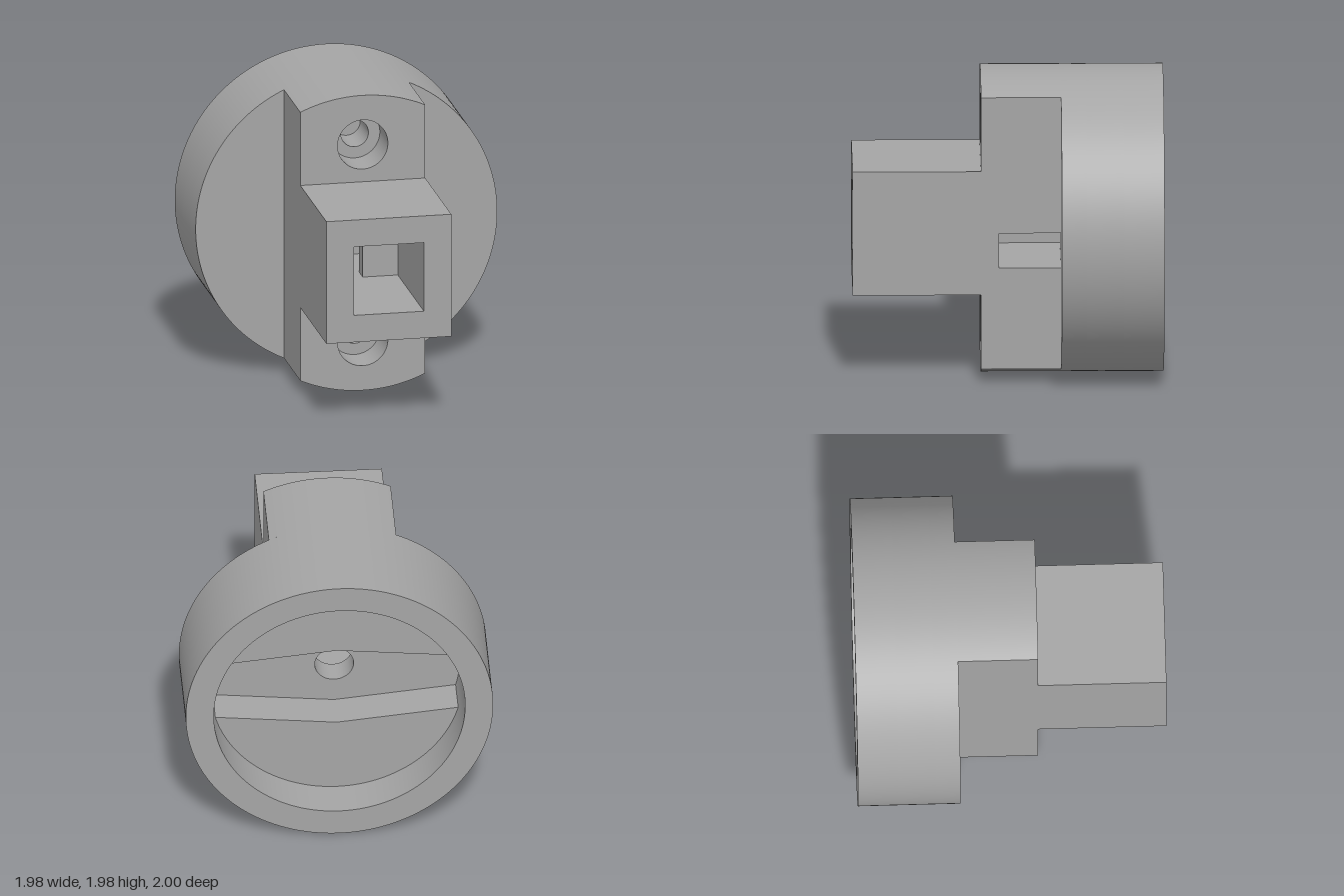
import * as THREE from 'three';
import { toCreasedNormals } from 'three/addons/utils/BufferGeometryUtils.js';

const R = 0.99;        // disc radius
const AXIS = 0.993;    // height of the axis
const RECESS = 0.81;   // radius of the rear recess
const BAR = 0.41;      // half width of bar and post
const POCKET = 0.23;   // half width of the square socket
const material = new THREE.MeshStandardMaterial({ color: 0xa5a5a5 });

function circle(r, y = 0) {
  return new THREE.Shape().absarc(0, y, r, 0, Math.PI * 2, false);
}

function rect(x0, y0, x1, y1) {
  return new THREE.Shape([[x0, y0], [x1, y0], [x1, y1], [x0, y1]].map(p => new THREE.Vector2(...p)));
}

// One slice of the body, from z0 to z1, with holes cut through it
function slice(name, shape, holes, z0, z1) {
  shape.holes.push(...holes);
  const geo = new THREE.ExtrudeGeometry(shape, { depth: z1 - z0, bevelEnabled: false, curveSegments: 180 });
  geo.translate(0, 0, z0);
  const mesh = new THREE.Mesh(toCreasedNormals(geo, 0.5), material);
  mesh.name = name;
  return mesh;
}

// Groove across the recess, widest in the middle, ending on the recess wall
function grooveShape() {
  const mid = 0.29, end = 0.21, a = Math.asin(end / RECESS);
  const s = new THREE.Shape();
  s.absarc(0, 0, RECESS, -a, a, false);
  s.lineTo(0, mid);
  s.absarc(0, 0, RECESS, Math.PI - a, Math.PI + a, false);
  s.lineTo(0, -mid);
  s.closePath();
  return s;
}

// Upright bar with ends rounded to the disc, optionally notched from the +x side
function barShape(notched) {
  const a = Math.acos(BAR / R);
  const s = new THREE.Shape();
  s.absarc(0, 0, R, a, Math.PI - a, false);
  s.absarc(0, 0, R, Math.PI + a, Math.PI * 2 - a, false);
  if (notched) {
    s.lineTo(BAR, -POCKET);
    s.lineTo(-POCKET, -POCKET);
    s.lineTo(-POCKET, 0);
    s.lineTo(BAR, 0);
  }
  s.closePath();
  return s;
}

const screwHoles = r => [-0.66, 0.66].map(y => circle(r, y));

export function createModel() {
  const model = new THREE.Group();
  model.name = 'mountingKnob';

  // Round body, from the open back to the front plate
  const disc = new THREE.Group();
  disc.name = 'disc';
  disc.add(
    slice('recessRim', circle(R), [circle(RECESS)], -1, -0.74),
    slice('groovePlate', circle(R), [grooveShape()], -0.74, -0.5),
    slice('frontPlate', circle(R), [circle(0.125)], -0.5, -0.34)
  );

  // Bar with side notch, counterbored screw holes and a passage into the socket
  const bar = new THREE.Group();
  bar.name = 'bar';
  bar.add(
    slice('barBase', barShape(true), screwHoles(0.09), -0.34, -0.08),
    slice('barMiddle', barShape(true), screwHoles(0.165), -0.08, 0.06),
    slice('barFront', barShape(false), [...screwHoles(0.165), rect(-POCKET, -POCKET, 0, 0)], 0.06, 0.175)
  );

  // Square post with its socket
  const post = slice('post', rect(-BAR, -BAR, BAR, BAR), [rect(-POCKET, -POCKET, POCKET, POCKET)], 0.175, 1);

  model.add(disc, bar, post);
  model.children.forEach(part => { part.position.y = AXIS; });
  return model;
}
